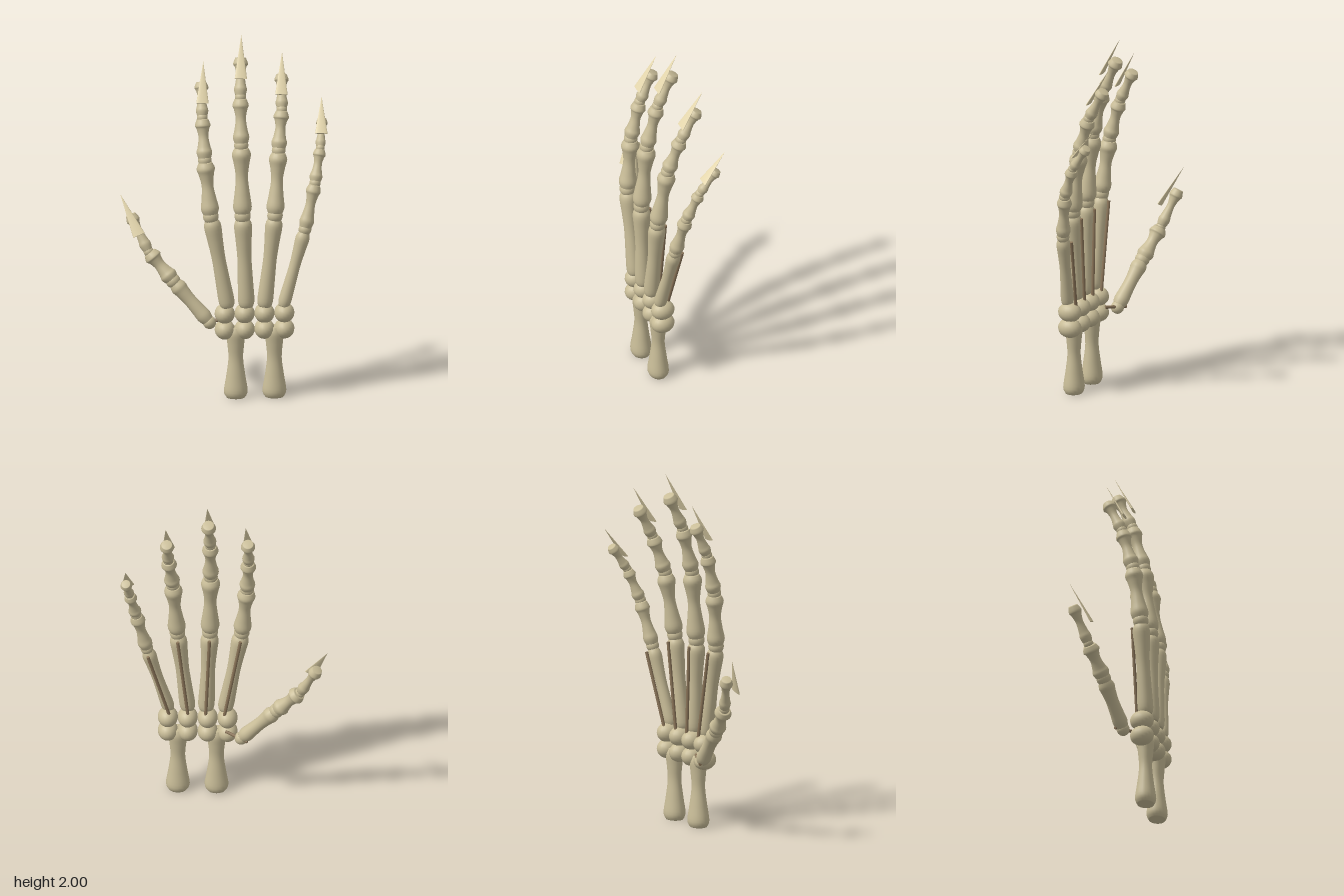
import * as THREE from 'three';

const boneMat = new THREE.MeshStandardMaterial({ color: 0xc9bd98 });
const nailMat = new THREE.MeshStandardMaterial({ color: 0xe6d8ae });
const tendonMat = new THREE.MeshStandardMaterial({ color: 0x8a7458 });
const UP = new THREE.Vector3(0, 1, 0);
const vec = (p) => new THREE.Vector3(...p);

function addMesh(parent, name, geometry, material) {
  const mesh = new THREE.Mesh(geometry, material);
  mesh.name = name;
  parent.add(mesh);
  return mesh;
}

// Aim a mesh whose geometry starts at its origin and runs along +y
function aim(mesh, a, b) {
  mesh.position.copy(a);
  mesh.quaternion.setFromUnitVectors(UP, b.clone().sub(a).normalize());
  return mesh;
}

// Bone with flared ends: base radius, shaft radius, head radius
function bone(parent, name, a, b, [r0, rs, r1]) {
  const L = a.distanceTo(b);
  const bevel = Math.min(0.035, L * 0.16);
  const curve = new THREE.SplineCurve([
    [r0 * 0.78, 0], [r0, bevel], [(r0 + rs) / 2, L * 0.3], [rs, L * 0.55],
    [(rs + r1) / 2, L * 0.76], [r1, L - bevel], [r1 * 0.72, L],
  ].map(([x, y]) => new THREE.Vector2(x, y)));
  const profile = [new THREE.Vector2(0, 0), ...curve.getPoints(24), new THREE.Vector2(0, L)];
  return aim(addMesh(parent, name, new THREE.LatheGeometry(profile, 20), boneMat), a, b);
}

function ball(parent, name, p, r) {
  const mesh = addMesh(parent, name, new THREE.SphereGeometry(r, 20, 14), boneMat);
  mesh.position.copy(p);
  return mesh;
}

// Thin pointed nail, flattened front to back
function nail(parent, a, b) {
  const L = a.distanceTo(b);
  const geometry = new THREE.ConeGeometry(0.034, L, 16).translate(0, L / 2, 0).scale(1, 1, 0.2);
  aim(addMesh(parent, 'nail', geometry, nailMat), a, b);
}

function tendon(parent, a, b) {
  const L = a.distanceTo(b);
  const geometry = new THREE.CylinderGeometry(0.009, 0.009, L, 8).translate(0, L / 2, 0);
  aim(addMesh(parent, 'tendon', geometry, tendonMat), a, b);
}

// Joints run from wrist to fingertip; nail holds its base and point
const fingers = [
  {
    name: 'indexFinger', size: 1,
    joints: [[0.01, 0.5, 0.12], [-0.085, 1.035, 0.12], [-0.115, 1.345, 0.085], [-0.125, 1.57, 0.025], [-0.125, 1.745, -0.055]],
    nail: [[-0.125, 1.655, 0.04], [-0.113, 1.86, -0.07]],
  },
  {
    name: 'middleFinger', size: 1.04,
    joints: [[0.11, 0.5, 0.12], [0.088, 1.035, 0.12], [0.083, 1.425, 0.085], [0.083, 1.68, 0.02], [0.09, 1.875, -0.07]],
    nail: [[0.085, 1.785, 0.025], [0.095, 2.0, -0.09]],
  },
  {
    name: 'ringFinger', size: 1,
    joints: [[0.205, 0.5, 0.12], [0.265, 1.03, 0.11], [0.288, 1.385, 0.06], [0.31, 1.595, -0.01], [0.315, 1.765, -0.105]],
    nail: [[0.308, 1.68, -0.01], [0.32, 1.885, -0.135]],
  },
  {
    name: 'littleFinger', size: 0.82,
    joints: [[0.305, 0.5, 0.12], [0.43, 0.94, 0.085], [0.487, 1.19, 0.045], [0.52, 1.368, -0.02], [0.537, 1.505, -0.115]],
    nail: [[0.527, 1.445, -0.035], [0.537, 1.615, -0.165]],
  },
  {
    name: 'thumb', size: 0.95,
    joints: [[-0.085, 0.4, 0.02], [-0.28, 0.625, -0.03], [-0.41, 0.78, -0.075], [-0.505, 0.975, -0.135]],
    nail: [[-0.465, 0.885, -0.04], [-0.56, 1.09, -0.14]],
  },
];

const sections = {
  metacarpal: [0.043, 0.037, 0.047],
  proximalPhalanx: [0.049, 0.032, 0.05],
  middlePhalanx: [0.043, 0.027, 0.043],
  distalPhalanx: [0.034, 0.022, 0.039],
};

function finger(parent, spec) {
  const group = new THREE.Group();
  group.name = spec.name;
  parent.add(group);
  const joints = spec.joints.map(vec);
  const names = Object.keys(sections);
  if (joints.length === 4) names.splice(2, 1);
  names.forEach((name, i) => {
    const a = joints[i], b = joints[i + 1];
    const end = i === names.length - 1 ? 1 : 0.965;
    const radii = sections[name].map((r) => r * spec.size);
    bone(group, name, a.clone().lerp(b, 0.035), a.clone().lerp(b, end), radii);
    if (i > 0) ball(group, 'joint', a, radii[0] * 0.87);
  });
  nail(group, ...spec.nail.map(vec));
  return group;
}

export function createModel() {
  const hand = new THREE.Group();
  hand.name = 'skeletonHand';

  // Two forearm bones
  for (const x of [0.052, 0.262]) {
    const m = bone(hand, 'forearmBone', vec([x, 0, 0.105]), vec([x, 0.4, 0.105]), [0.065, 0.04, 0.052]);
    m.scale.z = 0.88;
  }

  // Two rows of wrist bones
  for (const y of [0.385, 0.475]) {
    for (let i = 0; i < 4; i++) {
      ball(hand, 'wristBone', vec([-0.008 + i * 0.108, y, 0.103]), 0.055).scale.z = 1.2;
    }
  }

  // Fingers, with a tendon behind each of the four long palm bones
  for (const spec of fingers) {
    const group = finger(hand, spec);
    const a = vec(spec.joints[0]), b = vec(spec.joints[1]);
    if (spec.name === 'thumb') {
      ball(group, 'thumbRoot', a, 0.036);
      tendon(group, vec([0.0, 0.42, 0.05]), vec([-0.12, 0.4, -0.015]));
    } else {
      const back = new THREE.Vector3(0, 0, -0.05);
      tendon(group, a.clone().add(back), a.clone().lerp(b, 0.94).add(back));
    }
  }
  return hand;
}
